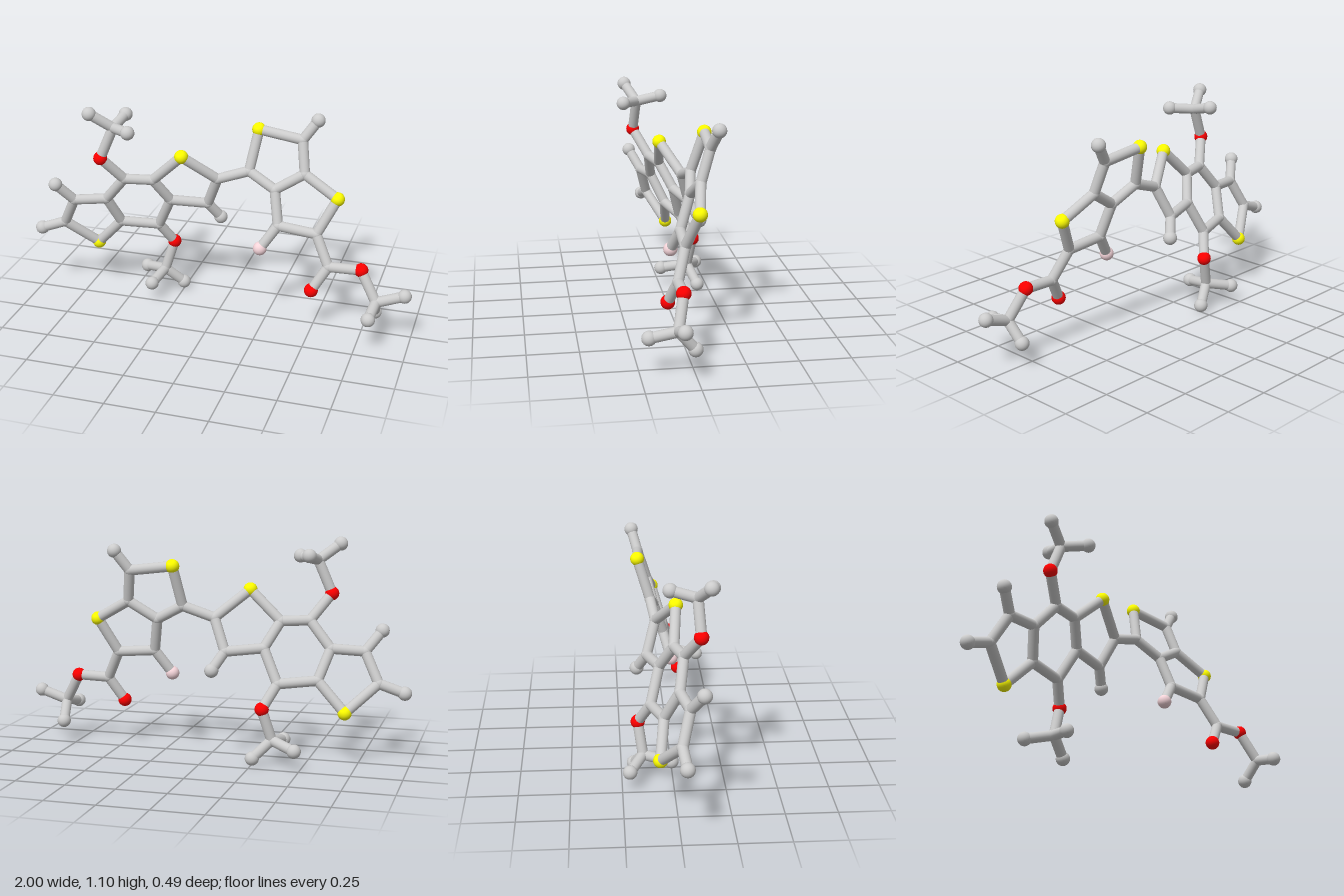
import * as THREE from 'three';

const BALL = 0.035, JOINT = 0.028, ROD = 0.026;
const paint = (color) => new THREE.MeshStandardMaterial({ color });

export function createModel() {
  const model = new THREE.Group();
  model.name = 'stickMolecule';

  const materials = {
    carbon: paint(0xcccccc), hydrogen: paint(0xcccccc), sulfur: paint(0xffff00),
    oxygen: paint(0xff0000), fluorine: paint(0xf5d5da),
  };
  const ballGeometry = new THREE.SphereGeometry(BALL, 24, 16);
  const jointGeometry = new THREE.SphereGeometry(JOINT, 24, 16);
  const rodGeometry = new THREE.CylinderGeometry(ROD, ROD, 1, 20, 1, true);
  const up = new THREE.Vector3(0, 1, 0);
  const atoms = {};

  const part = (name) => {
    const group = new THREE.Group();
    group.name = name;
    model.add(group);
    return group;
  };

  // One atom: a ball, or a slim joint for carbon
  const atom = (group, id, kind, x, y, z) => {
    const mesh = new THREE.Mesh(kind === 'carbon' ? jointGeometry : ballGeometry, materials[kind]);
    mesh.name = kind + 'Atom';
    mesh.position.set(x, y, z);
    group.add(mesh);
    atoms[id] = mesh.position;
  };

  // Rods along a chain of atom ids
  const bonds = (group, chain) => {
    const ids = chain.split(' ');
    for (let i = 1; i < ids.length; i++) {
      const a = atoms[ids[i - 1]], b = atoms[ids[i]];
      const dir = b.clone().sub(a);
      const rod = new THREE.Mesh(rodGeometry, materials.carbon);
      rod.name = 'bond';
      rod.position.copy(a).add(b).multiplyScalar(0.5);
      rod.scale.y = dir.length();
      rod.quaternion.setFromUnitVectors(up, dir.normalize());
      group.add(rod);
    }
  };

  // Flat ring systems: each lies in its own tilted plane z(x, y)
  const flat = (group, plane, list) => {
    for (const [id, kind, x, y] of list) atom(group, id, kind, x, y, plane(x, y));
  };

  // Three fused rings on the left side of the front
  const triple = part('threeRingCore');
  flat(triple, (x, y) => -0.351 - 0.246 * x + 0.389 * y, [
    ['h1', 'hydrogen', -0.967, 0.36], ['c1', 'carbon', -0.84, 0.405],
    ['h2', 'hydrogen', -0.84, 0.653], ['c2', 'carbon', -0.765, 0.555],
    ['s1', 'sulfur', -0.69, 0.268], ['c3', 'carbon', -0.55, 0.417],
    ['c4', 'carbon', -0.60, 0.567], ['c5', 'carbon', -0.49, 0.70],
    ['c6', 'carbon', -0.35, 0.695], ['c7', 'carbon', -0.28, 0.567],
    ['c8', 'carbon', -0.36, 0.40], ['s2', 'sulfur', -0.19, 0.845],
    ['c9', 'carbon', -0.03, 0.71], ['c10', 'carbon', -0.095, 0.55],
    ['h3', 'hydrogen', -0.04, 0.46], ['o1', 'oxygen', -0.585, 0.828],
    ['o2', 'oxygen', -0.297, 0.283],
  ]);
  bonds(triple, 'c3 c4 c5 c6 c7 c8 c3');
  bonds(triple, 'c4 c2 c1 s1 c3');
  bonds(triple, 'c6 s2 c9 c10 c7');
  for (const pair of ['h1 c1', 'h2 c2', 'h3 c10', 'c5 o1', 'c8 o2']) bonds(triple, pair);

  // Two fused rings with the ester branch
  const double = part('twoRingCore');
  flat(double, (x, y) => 0.148 + 0.005 * x - 0.306 * y, [
    ['c11', 'carbon', 0.13, 0.765], ['s3', 'sulfur', 0.163, 0.968],
    ['c12', 'carbon', 0.388, 0.94], ['h4', 'hydrogen', 0.457, 1.038],
    ['c13', 'carbon', 0.414, 0.78], ['c14', 'carbon', 0.27, 0.69],
    ['s4', 'sulfur', 0.59, 0.68], ['c15', 'carbon', 0.50, 0.503],
    ['c16', 'carbon', 0.302, 0.52], ['f', 'fluorine', 0.22, 0.40],
    ['c17', 'carbon', 0.575, 0.355], ['o3', 'oxygen', 0.50, 0.232],
    ['o4', 'oxygen', 0.74, 0.36],
  ]);
  bonds(double, 'c11 s3 c12 c13 c14 c11');
  bonds(double, 'c13 s4 c15 c16 c14');
  bonds(double, 'c15 c17 o3');
  bonds(double, 'c17 o4');
  bonds(double, 'c12 h4');
  bonds(double, 'c16 f');

  // Rod joining the two ring systems
  bonds(part('linkBond'), 'c9 c11');

  // Methyl tips: a carbon and three hydrogens on an oxygen
  const methyl = (name, oxygen, centre, tips) => {
    const group = part(name);
    atom(group, name, 'carbon', ...centre);
    bonds(group, `${oxygen} ${name}`);
    tips.forEach((tip, i) => {
      atom(group, name + i, 'hydrogen', ...tip);
      bonds(group, `${name} ${name + i}`);
    });
  };
  methyl('upperMethyl', 'o1', [-0.516, 0.993, 0.103],
    [[-0.618, 1.072, 0.156], [-0.41, 1.004, 0.183], [-0.495, 1.024, -0.022]]);
  methyl('lowerMethyl', 'o2', [-0.343, 0.125, -0.145],
    [[-0.468, 0.094, -0.212], [-0.254, 0.038, -0.188], [-0.372, 0.099, -0.007]]);
  methyl('esterMethyl', 'o4', [0.826, 0.213, 0.078],
    [[0.964, 0.262, 0.068], [0.812, 0.183, 0.209], [0.812, 0.117, -0.003]]);

  return model;
}
